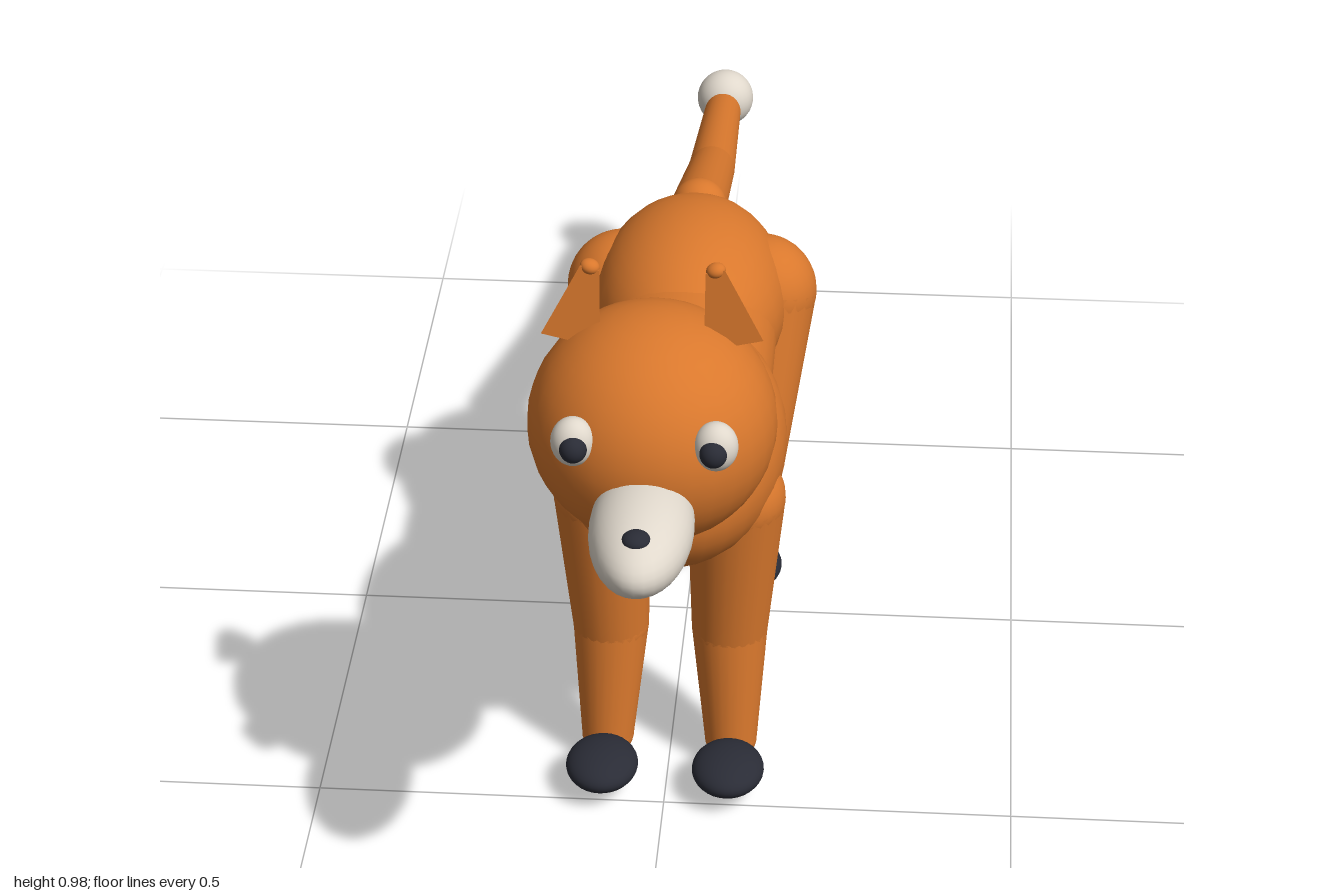
import * as THREE from 'three';

const mat = (name, color) => Object.assign(new THREE.MeshStandardMaterial({ color }), { name });

export function createModel() {
  const fur = mat('orange fur', 0xd9782d);
  const cream = mat('cream', 0xe0d8cc);
  const dark = mat('dark charcoal', 0x2a2c36);
  const model = new THREE.Group();
  model.name = 'animal';

  const add = (name, geometry, material, parent = model) => {
    const mesh = new THREE.Mesh(geometry, material);
    mesh.name = name;
    parent.add(mesh);
    return mesh;
  };

  // Ellipsoid from centre and three radii
  const blob = (name, material, pos, radii, parent) => {
    const mesh = add(name, new THREE.SphereGeometry(1, 32, 20), material, parent);
    mesh.position.set(...pos);
    mesh.scale.set(...radii);
    return mesh;
  };

  // Tapered chain of rounded segments; each point is [x, y, z, radius]
  const chain = (name, points, parent = model) => {
    const group = new THREE.Group();
    group.name = name;
    parent.add(group);
    points.forEach(([x, y, z, r], i) => {
      blob(name + 'Joint', fur, [x, y, z], [r, r, r], group);
      if (i === 0) return;
      const a = new THREE.Vector3(...points[i - 1].slice(0, 3));
      const b = new THREE.Vector3(x, y, z);
      const dir = b.clone().sub(a);
      const part = add(name + 'Segment',
        new THREE.CylinderGeometry(r, points[i - 1][3], dir.length(), 24, 1, true), fur, group);
      part.position.copy(a).lerp(b, 0.5);
      part.quaternion.setFromUnitVectors(new THREE.Vector3(0, 1, 0), dir.normalize());
    });
    return group;
  };

  // Body
  blob('chest', fur, [0, 0.505, 0.31], [0.163, 0.158, 0.235]);
  blob('haunches', fur, [0, 0.515, -0.07], [0.145, 0.14, 0.215]);
  const waist = add('waist', new THREE.CylinderGeometry(1, 1, 0.3, 32), fur);
  waist.rotation.x = Math.PI / 2;
  waist.scale.set(0.133, 1, 0.117);
  waist.position.set(0, 0.497, 0.12);
  blob('bellyPatch', cream, [0, 0.42, 0.17], [0.07, 0.052, 0.08]);

  // Neck
  const neck = add('neck', new THREE.CylinderGeometry(0.071, 0.073, 0.27, 24), fur);
  neck.position.set(0, 0.625, 0.525);
  neck.rotation.x = 0.8;

  // Head
  const head = new THREE.Group();
  head.name = 'head';
  model.add(head);
  blob('skull', fur, [0, 0.758, 0.674], [0.165, 0.158, 0.171], head);
  blob('muzzle', cream, [0, 0.708, 0.86], [0.068, 0.057, 0.138], head);
  blob('nose', dark, [0, 0.746, 0.945], [0.019, 0.012, 0.019], head);

  // Three-sided ear with flat faces
  const earGeometry = new THREE.CylinderGeometry(0.015, 0.046, 0.105, 3).toNonIndexed();
  earGeometry.computeVertexNormals();

  for (const s of [1, -1]) {
    const side = s > 0 ? 'left' : 'right';
    blob(side + 'Eye', cream, [s * 0.092, 0.805, 0.809], [0.029, 0.034, 0.027], head);
    blob(side + 'Pupil', dark, [s * 0.09, 0.805, 0.828], [0.018, 0.019, 0.018], head);

    const ear = new THREE.Group();
    ear.name = side + 'Ear';
    ear.position.set(s * 0.094, 0.926, 0.652);
    ear.rotation.set(0.04, 0, s * 0.24);
    head.add(ear);
    add('earCone', earGeometry, fur, ear).rotation.y = Math.PI;
    blob('earTip', fur, [0, 0.051, 0], [0.013, 0.01, 0.012], ear);

    // Legs and paws
    chain(side + 'FrontLeg', [
      [s * 0.095, 0.45, 0.37, 0.07],
      [s * 0.086, 0.22, 0.357, 0.055],
      [s * 0.09, 0.042, 0.383, 0.038],
    ]);
    blob(side + 'FrontPaw', dark, [s * 0.091, 0.05, 0.474], [0.052, 0.028, 0.063]);
    chain(side + 'HindLeg', [
      [s * 0.104, 0.515, -0.108, 0.084],
      [s * 0.09, 0.265, -0.022, 0.057],
      [s * 0.09, 0.122, -0.172, 0.042],
      [s * 0.09, 0.042, -0.138, 0.037],
    ]);
    blob(side + 'HindPaw', dark, [s * 0.091, 0.05, -0.06], [0.052, 0.028, 0.063]);
  }

  // Tail with a pale ball tip
  chain('tail', [
    [0, 0.567, -0.27, 0.042],
    [0, 0.465, -0.58, 0.037],
    [0, 0.416, -0.876, 0.03],
  ]);
  blob('tailTip', cream, [0, 0.404, -0.953], [0.047, 0.047, 0.047]);

  return model;
}
